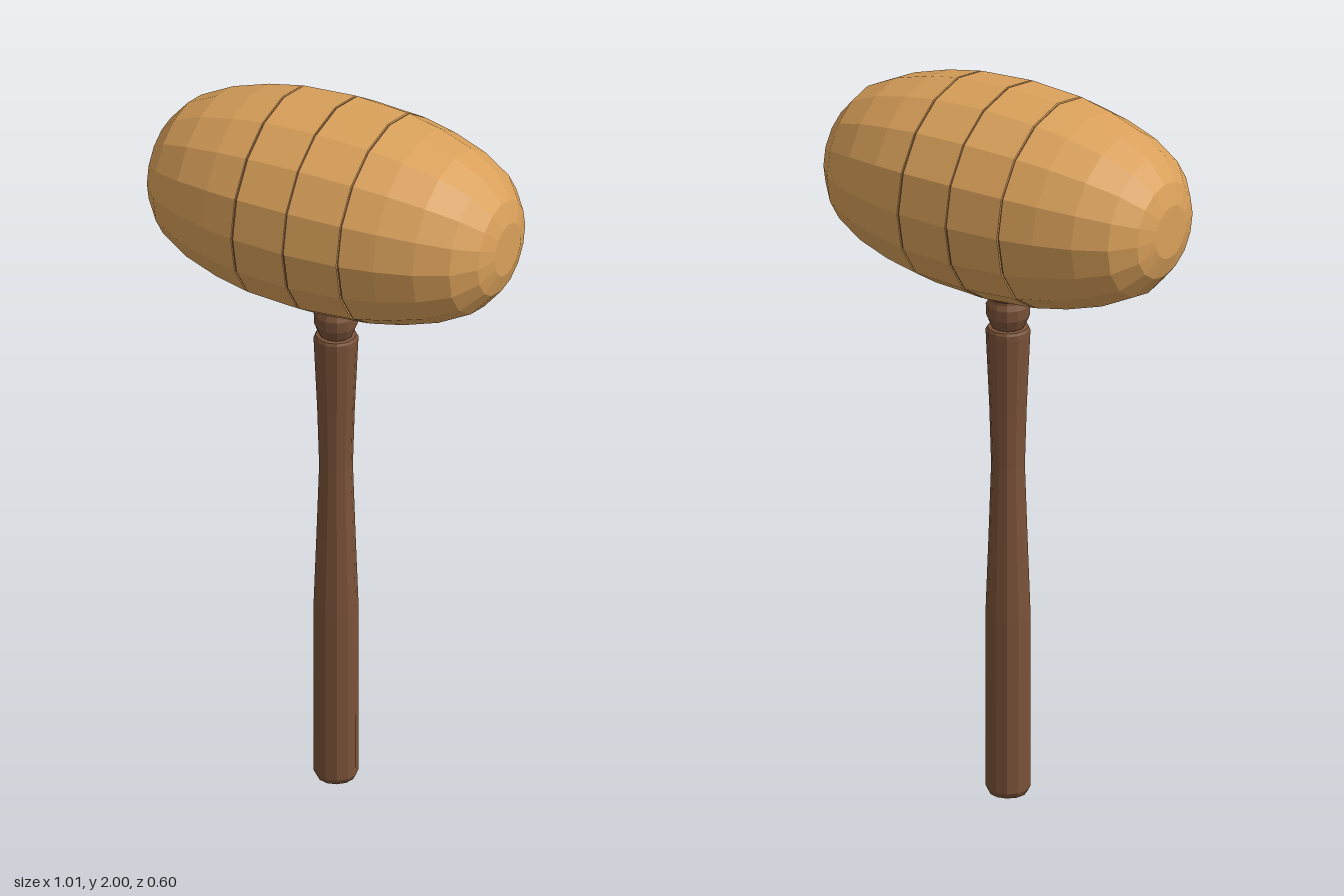
import * as THREE from 'three';

const pale = new THREE.MeshStandardMaterial({ color: 0xd9a05a, flatShading: true });
const dark = new THREE.MeshStandardMaterial({ color: 0x7a5238, flatShading: true });

// turned part from [radius, height] pairs, listed bottom to top
function turned(name, profile, sides, material) {
  const points = profile.map(([r, h]) => new THREE.Vector2(r, h));
  const mesh = new THREE.Mesh(new THREE.LatheGeometry(points, sides), material);
  mesh.name = name;
  return mesh;
}

export function createModel() {
  const group = new THREE.Group();
  group.name = 'mallet';

  // barrel head: half profile from the middle groove out to the flat end
  const g = 0.003, depth = 0.008;
  const half = [
    [0.298 - depth, 0.001], [0.298, g],
    [0.289, 0.155 - g], [0.288 - depth, 0.155], [0.288, 0.155 + g],
    [0.27, 0.25], [0.239, 0.35], [0.195, 0.435],
    [0.133, 0.486], [0.074, 0.505], [0, 0.505],
  ];
  const mirrored = half.map(([r, h]) => [r, -h]).reverse();
  const head = turned('head', [...mirrored, ...half], 16, pale);
  head.geometry.rotateZ(-Math.PI / 2);
  head.geometry.scale(1, 0.973, 1);
  head.position.y = 1.71;
  group.add(head);

  // dark seams lying in the three grooves
  for (const [x, r] of [[-0.155, 0.285], [0, 0.295], [0.155, 0.285]]) {
    const seam = turned('seam', [[r, -g], [r, g]], 16, dark);
    seam.geometry.rotateZ(-Math.PI / 2);
    seam.geometry.scale(1, 0.973, 1);
    seam.position.set(x, 1.71, 0);
    group.add(seam);
  }

  // handle with chamfered foot, slim waist and shoulder
  group.add(turned('handle', [
    [0, 0], [0.05, 0], [0.058, 0.015], [0.059, 0.5], [0.051, 0.72],
    [0.044, 0.93], [0.049, 1.1], [0.058, 1.3], [0.058, 1.315],
    [0.054, 1.322], [0.042, 1.324],
  ], 12, dark));

  // rounded collar under the head
  group.add(turned('collar', [
    [0.042, 1.322], [0.046, 1.328], [0.057, 1.355], [0.058, 1.385],
    [0.051, 1.4], [0.051, 1.408], [0.058, 1.415], [0.058, 1.44], [0, 1.44],
  ], 12, dark));

  return group;
}
